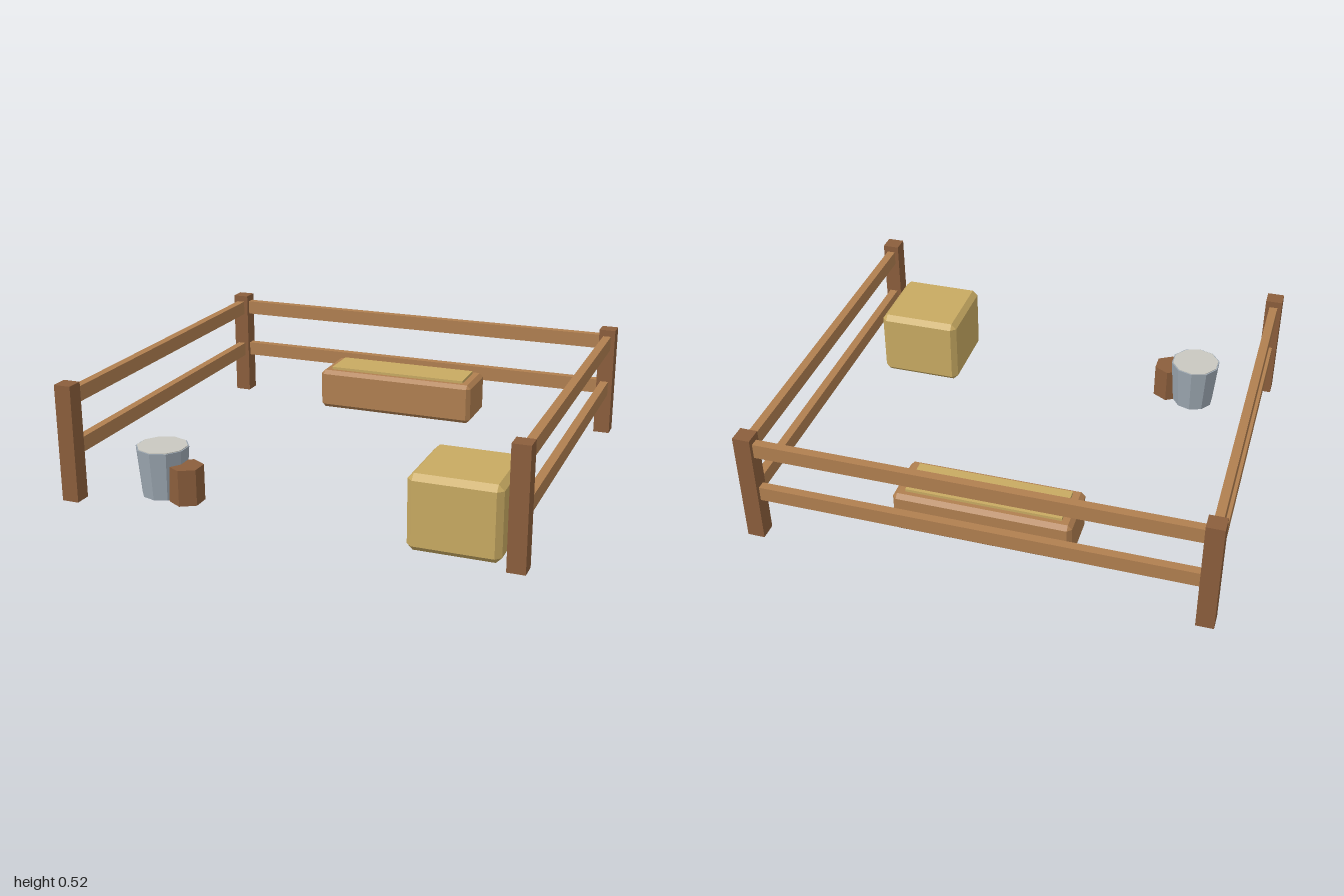
import * as THREE from 'three';
import { ConvexGeometry } from 'three/addons/geometries/ConvexGeometry.js';

function material(name, color) {
  const m = new THREE.MeshStandardMaterial({ color });
  m.flatShading = true;
  m.name = name;
  return m;
}

// Box with every edge cut at 45 degrees
function chamferedBox(w, h, d, c) {
  const points = [];
  for (const x of [-1, 1]) for (const y of [-1, 1]) for (const z of [-1, 1]) {
    for (let axis = 0; axis < 3; axis++) {
      const cut = [c, c, c];
      cut[axis] = 0;
      points.push(new THREE.Vector3(x * (w / 2 - cut[0]), y * (h / 2 - cut[1]), z * (d / 2 - cut[2])));
    }
  }
  return new ConvexGeometry(points);
}

export function createModel() {
  const model = new THREE.Group();
  model.name = 'paddock';
  const darkWood = material('dark wood', 0x8b5e3c);
  const lightWood = material('light wood', 0xb07f50);
  const straw = material('straw', 0xc8aa62);
  const metal = material('bucket metal', 0x9ca7b1);
  const milk = material('pale liquid', 0xc9c8c0);

  const add = (name, geometry, mat, x, y, z) => {
    const mesh = new THREE.Mesh(geometry, mat);
    mesh.name = name;
    mesh.position.set(x, y, z);
    model.add(mesh);
    return mesh;
  };

  // Fence: four corner posts, two rails on three sides, open at the front
  const postX = 0.963, postZ = 0.833;
  for (const x of [-postX, postX]) for (const z of [-postZ, postZ]) {
    add('fencePost', new THREE.BoxGeometry(0.075, 0.512, 0.075), darkWood, x, 0.262, z);
  }
  for (const y of [0.231, 0.455]) {
    add('backRail', new THREE.BoxGeometry(1.9, 0.066, 0.037), lightWood, 0, y, -postZ);
    for (const x of [-postX, postX]) {
      add('sideRail', new THREE.BoxGeometry(0.037, 0.066, 1.64), lightWood, x, y, 0);
    }
  }

  // Feed trough with its filling
  add('trough', chamferedBox(0.766, 0.19, 0.252, 0.018), lightWood, 0, 0.167, -0.613);
  add('feed', new THREE.BoxGeometry(0.67, 0.04, 0.178), straw, 0, 0.254, -0.613);

  // Straw bale
  add('strawBale', chamferedBox(0.38, 0.319, 0.38, 0.024), straw, 0.703, 0.166, 0.64);

  // Bucket with liquid, and the stool beside it
  add('bucket', new THREE.CylinderGeometry(0.115, 0.096, 0.214, 10), metal, -0.642, 0.113, 0.638);
  add('bucketLiquid', new THREE.CylinderGeometry(0.109, 0.109, 0.004, 10), milk, -0.642, 0.221, 0.638);
  add('stool', new THREE.CylinderGeometry(0.075, 0.075, 0.16, 6), darkWood, -0.515, 0.08, 0.67);

  return model;
}
